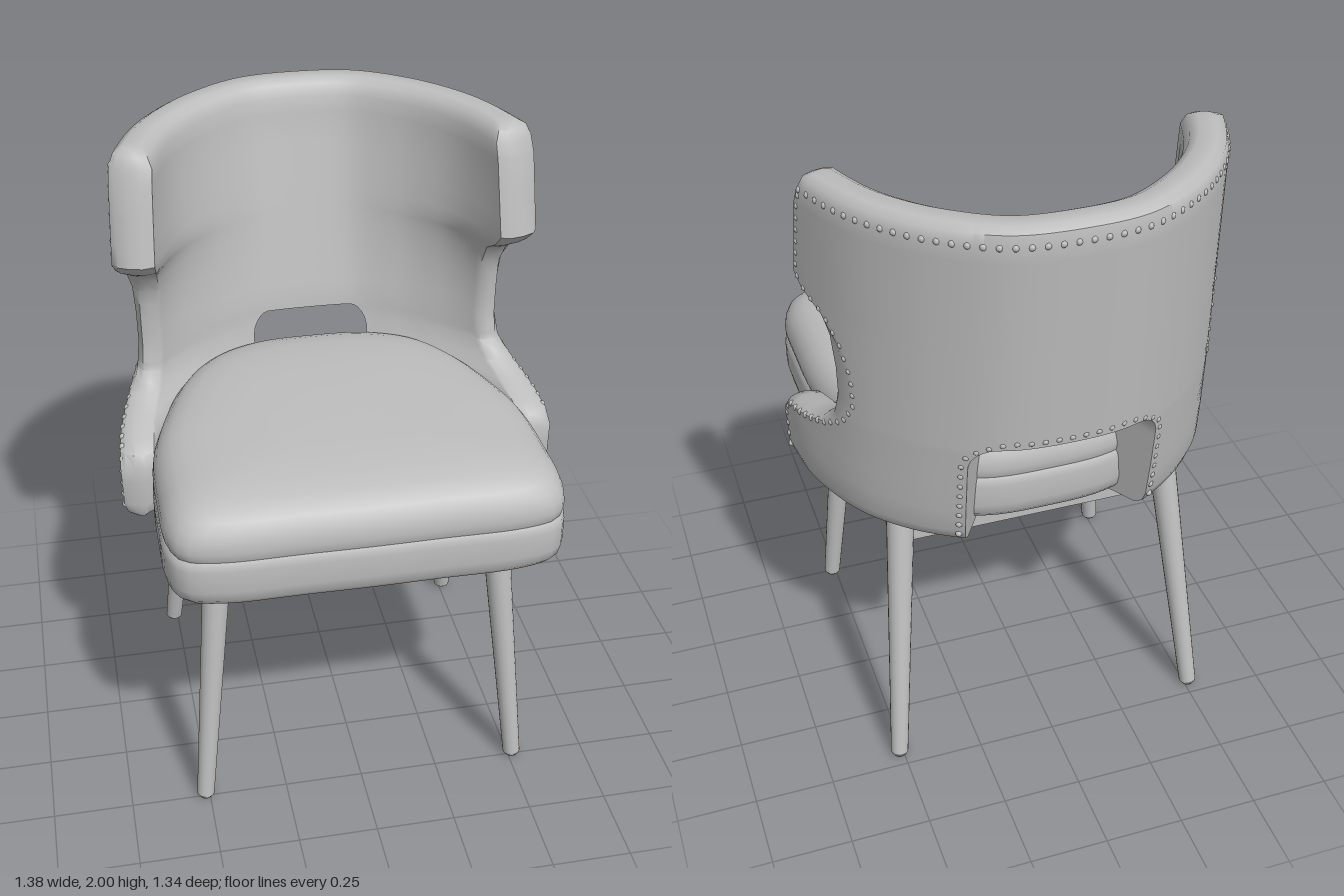
import * as THREE from 'three';
import { mergeGeometries, mergeVertices, toCreasedNormals } from 'three/addons/utils/BufferGeometryUtils.js';

const V = (x, y, z) => new THREE.Vector3(x, y, z);
const grey = new THREE.MeshStandardMaterial({ color: 0xbebebe });
grey.name = 'plain grey';

function add(parent, name, geometry) {
  const mesh = new THREE.Mesh(geometry, grey);
  mesh.name = name;
  parent.add(mesh);
  return mesh;
}

// Push a quad as two triangles
function quad(out, a, b, c, d) {
  for (const p of [a, b, c, a, c, d]) out.push(p.x, p.y, p.z);
}

function finish(positions, crease) {
  const g = new THREE.BufferGeometry();
  g.setAttribute('position', new THREE.Float32BufferAttribute(positions, 3));
  return toCreasedNormals(mergeVertices(g, 1e-4), crease);
}

// Plan of the backrest: half of it, then mirrored into one curve
const halfPlan = [[0.2, -0.645], [0.38, -0.535], [0.5, -0.41], [0.57, -0.3], [0.63, -0.15], [0.665, -0.02], [0.69, 0.16]];
const plan = new THREE.CatmullRomCurve3([
  ...halfPlan.slice().reverse().map(([x, z]) => V(-x, 0, z)),
  V(0, 0, -0.67),
  ...halfPlan.map(([x, z]) => V(x, 0, z)),
]);

// Backrest by height: y, z of outer edge, z of front edge, outer inset, inner inset
const profile = [
  [0.866, 0.11, 0.125, 0.04, 0.07], [0.885, 0.125, 0.135, 0.013, 0.095],
  [0.92, 0.13, 0.14, 0.003, 0.1], [1.05, 0.13, 0.14, 0, 0.1],
  [1.09, 0.09, 0.125, 0, 0.1], [1.115, 0, 0.07, 0, 0.1],
  [1.14, -0.08, -0.03, 0, 0.095], [1.17, -0.15, -0.12, 0, 0.09],
  [1.22, -0.23, -0.175, 0, 0.085], [1.3, -0.28, -0.19, 0, 0.085],
  [1.4, -0.28, -0.19, 0, 0.085], [1.5, -0.25, -0.18, 0, 0.095],
  [1.57, -0.19, -0.14, 0, 0.11], [1.61, -0.1, -0.07, 0, 0.125],
  [1.65, -0.06, -0.03, 0, 0.13], [1.9, -0.1, -0.08, 0, 0.13],
  [1.95, -0.12, -0.095, 0, 0.13], [1.985, -0.135, -0.11, 0.01, 0.115],
  [2.0, -0.16, -0.14, 0.035, 0.09],
];
function rowAt(y) {
  let i = 0;
  while (i < profile.length - 2 && profile[i + 1][0] < y) i++;
  const a = profile[i], b = profile[i + 1];
  const t = (y - a[0]) / (b[0] - a[0]);
  return a.map((v, k) => v + (b[k] - v) * t);
}

// Point on the backrest: s = 0 at centre back, 1 at the arm tip
function wall(s, y, inset = 0) {
  const u = 0.5 + 0.5 * Math.min(s, 1);
  const p = plan.getPointAt(u), t = plan.getTangentAt(u);
  const lean = p.z < 0 ? 1 - 0.13 * (2 - y) - 0.1 * Math.max(0, 1.25 - y) : 1;
  const drop = y > 1.6 ? 0.032 * s * s * (y - 1.6) / 0.4 : 0;
  return V(p.x - t.z * inset, y - drop, p.z * lean + t.x * inset);
}
function solve(axis, target, y) {
  let lo = 0, hi = 1;
  for (let i = 0; i < 22; i++) {
    const m = (lo + hi) / 2;
    if (wall(m, y)[axis] < target) lo = m; else hi = m;
  }
  return (lo + hi) / 2;
}

// Half width of the rear opening, with rounded upper corners
const openTop = 1.265;
function opening(y) {
  const r = 0.08, dy = Math.min(r, Math.max(0, y - (openTop - r)));
  return 0.21 + Math.sqrt(r * r - dy * dy);
}

function backrestGeometry() {
  const n = 34, c = 10, out = [];
  const ys = [...profile.map(r => r[0]), 1.0, 1.195, 1.24, 1.253, 1.261, openTop, 1.35, 1.45, 1.54, 1.59, 1.72, 1.8]
    .sort((a, b) => a - b);
  const rings = ys.map(y => {
    const [, zo, zf, a, b] = rowAt(y);
    const so = solve('z', zo, y), sf = solve('z', zf, y), t = b - a, ring = [];
    const split = solve('x', opening(y), y);
    // The padding swells towards the middle of the lower back
    const swell = y > 1.9 ? b : 0.2 - 0.07 * Math.max(0, (y - 1.3) / 0.6);
    const along = (i, end) => i <= c ? split * i / c : split + (end - split) * (i - c) / (n - c);
    for (let i = 0; i <= n; i++) ring.push(wall(along(i, so), y, a));
    ring.push(wall(so + (sf - so) * 0.65, y, a + 0.15 * t), wall(sf, y, a + 0.45 * t), wall(sf, y, a + 0.75 * t));
    for (let i = n; i >= 0; i--) {
      const s = along(i, sf - 0.015);
      ring.push(wall(s, y, swell + (b - swell) * Math.min(1, (s / sf) ** 2)));
    }
    return ring;
  });
  const m = rings[0].length;
  for (const side of [1, -1]) {
    const half = rings.map(r => r.map(p => V(p.x * side, p.y, p.z)));
    const face = (a, b, c, d) => side > 0 ? quad(out, a, b, c, d) : quad(out, d, c, b, a);
    const under = (r, k) => face(r[k], r[k + 1], r[m - 2 - k], r[m - 1 - k]);
    for (let j = 0; j < half.length - 1; j++) {
      const lo = half[j], hi = half[j + 1], first = ys[j] < openTop ? c : 0;
      for (let k = first; k < m - 1 - first; k++) face(lo[k], hi[k], hi[k + 1], lo[k + 1]);
      // Side of the opening, then its ceiling
      if (first) face(lo[m - 1 - c], hi[m - 1 - c], hi[c], lo[c]);
      if (ys[j] === openTop) for (let k = 0; k < c; k++) under(lo, k);
    }
    const top = half[half.length - 1];
    for (let k = 0; k < n + 2; k++) {
      face(top[k], top[m - 1 - k], top[m - 2 - k], top[k + 1]);
      if (k >= c) under(half[0], k);
    }
  }
  return finish(out, 0.8);
}

function seatGeometry() {
  const half = [[0.2, -0.42], [0.36, -0.345], [0.47, -0.2], [0.55, 0], [0.593, 0.17], [0.602, 0.4], [0.596, 0.56], [0.56, 0.635], [0.46, 0.664], [0.2, 0.668]];
  const outline = new THREE.CatmullRomCurve3([
    V(0, 0, -0.435), ...half.map(([x, z]) => V(x, 0, z)), V(0, 0, 0.67),
    ...half.slice().reverse().map(([x, z]) => V(-x, 0, z)),
  ], true).getSpacedPoints(96).slice(0, 96);
  // Height and scale: base, lower band, seam, domed cushion
  const rows = [[0.88, 0], [0.88, 0.93], [0.886, 0.962], [0.905, 0.988], [0.94, 1], [1.01, 1], [1.03, 0.995], [1.04, 0.984],
    [1.05, 0.99], [1.07, 0.995], [1.1, 0.988], [1.13, 0.968], [1.155, 0.935], [1.175, 0.89], [1.19, 0.82], [1.203, 0.7],
    [1.211, 0.5], [1.215, 0.25], [1.216, 0]];
  const rings = rows.map(([y, k]) => outline.map(p => V(p.x * k, y, 0.12 + (p.z - 0.12) * k)));
  const out = [];
  for (let j = 0; j < rings.length - 1; j++) {
    for (let i = 0; i < 96; i++) {
      const l = (i + 1) % 96;
      quad(out, rings[j][i], rings[j + 1][i], rings[j + 1][l], rings[j][l]);
    }
  }
  return finish(out, 0.8);
}

// Rows of small domed nails along a path, sunk into the wall
function nails(points) {
  const path = new THREE.CatmullRomCurve3(points);
  const count = Math.round(path.getLength() / 0.041);
  return path.getSpacedPoints(count).map(p => new THREE.SphereGeometry(0.011, 8, 6).translate(p.x, p.y, p.z));
}
const mirror = p => V(-p.x, p.y, p.z);

function nailGeometry() {
  const edge = [], top = [], cut = [], sink = 0.006;
  for (let y = 0.91; y < 1.94; y += 0.02) edge.push(wall(solve('z', rowAt(y)[1] - 0.012, y), y, sink));
  const end = solve('z', -0.13, 1.95);
  for (let i = 0; i <= 20; i++) top.push(wall(end * (1 - i / 20), 1.95, sink));
  for (let y = 0.91; y < 1.26; y += 0.03) cut.push(wall(solve('x', opening(y) + 0.018, y), y, sink));
  for (const x of [0.2, 0.1, 0]) cut.push(wall(solve('x', x, 1.283), 1.283, sink));
  const whole = h => [...h, ...h.slice(0, -1).reverse().map(mirror)];
  return mergeGeometries([...nails(edge), ...nails(edge.map(mirror)), ...nails(whole(top)), ...nails(whole(cut))]);
}

// Place a y-aligned mesh between two points
function span(mesh, a, b) {
  mesh.position.copy(a).add(b).multiplyScalar(0.5);
  mesh.quaternion.setFromUnitVectors(V(0, 1, 0), b.clone().sub(a).normalize());
}

export function createModel() {
  const chair = new THREE.Group();
  chair.name = 'chair';
  add(chair, 'seatCushion', seatGeometry());
  add(chair, 'backrest', backrestGeometry());
  add(chair, 'nailTrim', nailGeometry());

  // Splayed tapered legs
  for (const side of [1, -1]) {
    for (const [name, zTop, zFoot] of [['frontLeg', 0.413, 0.495], ['backLeg', -0.28, -0.447]]) {
      const foot = V(side * 0.513, 0.012, zFoot), head = V(side * 0.43, 0.9, zTop);
      const length = foot.distanceTo(head);
      span(add(chair, name, new THREE.CylinderGeometry(0.044, 0.028, length, 20)), foot, head);
      const tip = add(chair, name + 'Tip', new THREE.CylinderGeometry(0.028, 0.02, 0.014, 20));
      tip.position.set(foot.x, 0.007, foot.z);
    }
    // Side rail under the seat
    const rail = add(chair, 'sideRail', new THREE.BoxGeometry(0.03, 0.12, 0.68));
    rail.position.set(side * 0.42, 0.832, 0.06);
    rail.rotation.x = -0.02;
  }
  for (const [name, z, y] of [['frontRail', 0.41, 0.84], ['backRail', -0.285, 0.825]]) {
    add(chair, name, new THREE.BoxGeometry(0.82, 0.12, 0.03)).position.set(0, y, z);
  }
  return chair;
}
